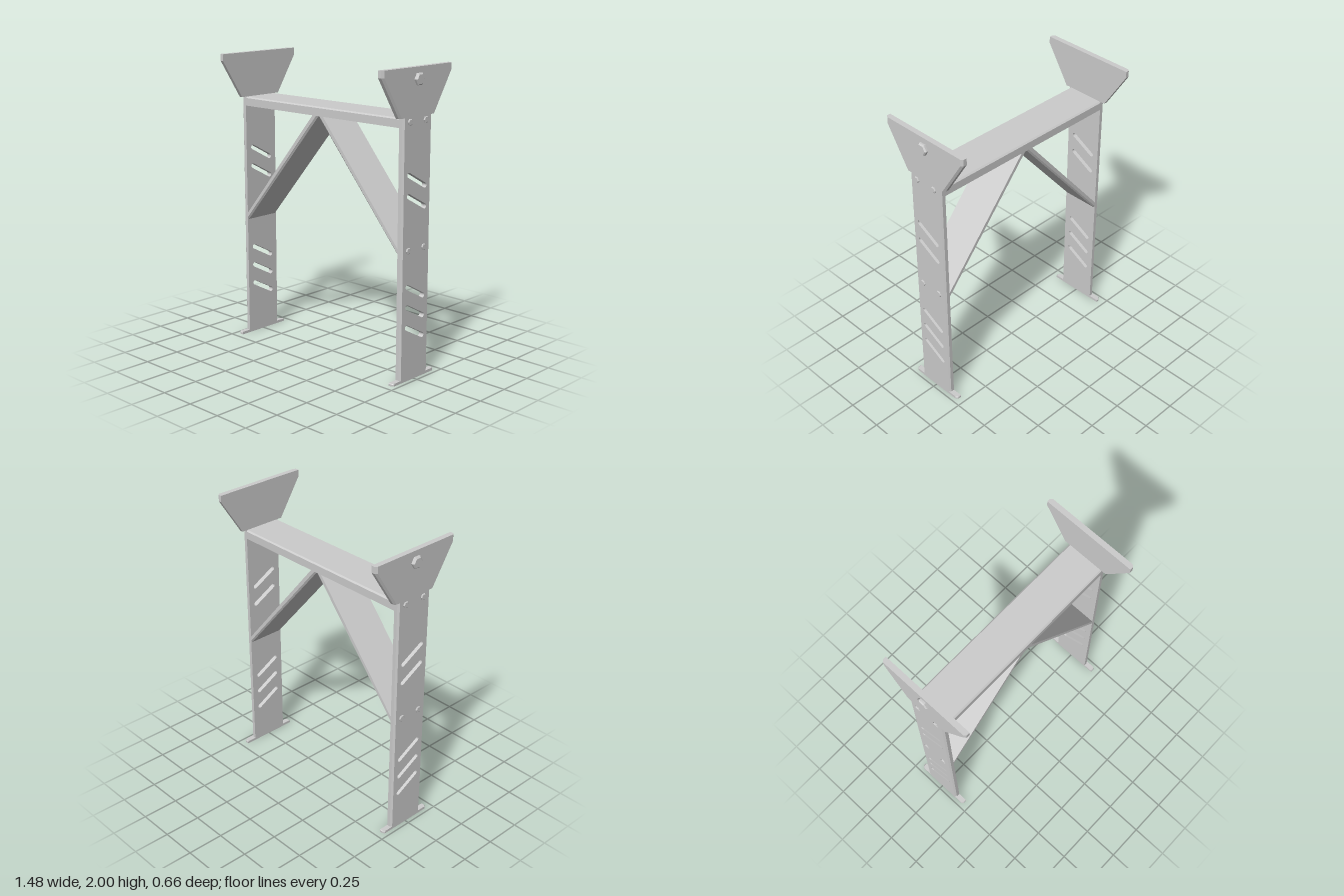
import * as THREE from 'three';

const T = 0.036;       // plate thickness
const INNER = 0.685;   // inner face of the side plates
const OUTER = INNER + T;
const HALF = 0.135;    // half width of posts, beam and braces

const material = new THREE.MeshStandardMaterial({ color: 0xcccccc, flatShading: true, side: THREE.DoubleSide });

function addMesh(parent, name, geometry) {
  const mesh = new THREE.Mesh(geometry, material);
  mesh.name = name;
  parent.add(mesh);
  return mesh;
}

// Sloped slot with round ends, centred at height y (shape x runs along -z)
function slot(y) {
  const path = new THREE.Path();
  const angle = Math.atan2(-0.085, 0.155), r = 0.016, a = 0.0775, b = -0.0425;
  path.absarc(a, y + b, r, angle - Math.PI / 2, angle + Math.PI / 2, false);
  path.absarc(-a, y - b, r, angle + Math.PI / 2, angle + Math.PI * 1.5, false);
  path.closePath();
  return path;
}

// Upright plate in the zy plane, thick along +x, with its outer side edges chamfered
function plate(points, inset, limit, holes = []) {
  const shape = new THREE.Shape(points.map(p => new THREE.Vector2(...p)));
  shape.holes = holes;
  const geo = new THREE.ExtrudeGeometry(shape, { depth: T, steps: 3, bevelEnabled: false, curveSegments: 8 });
  geo.rotateY(Math.PI / 2);
  const pos = geo.attributes.position;
  for (let i = 0; i < pos.count; i++) {
    const z = pos.getZ(i);
    if (pos.getX(i) > T * 0.9 && Math.abs(z) > limit) pos.setZ(i, z - Math.sign(z) * inset);
  }
  geo.computeVertexNormals();
  return geo;
}

const rect = (w, y0, y1) => [[-w, y0], [w, y0], [w, y1], [-w, y1]];

// Diagonal plate: a unit plate mapped between its upper and lower edge lines
function braceGeometry() {
  const geo = plate(rect(HALF, 0, 1), 0.01, 0.13);
  const pos = geo.attributes.position;
  const v2 = (x, y) => new THREE.Vector2(x, y);
  for (let i = 0; i < pos.count; i++) {
    const along = pos.getY(i), across = pos.getX(i) / T;
    const upper = v2(0.047, 1.637).lerp(v2(INNER, 0.882), along);
    const lower = v2(0, 1.637).lerp(v2(INNER, 0.835), along);
    upper.lerp(lower, across);
    pos.setXY(i, upper.x, upper.y);
  }
  geo.computeVertexNormals();
  return geo;
}

// Hexagonal bolt head with a chamfered rim, pointing along +x
function bolt(parent, name, r, height, y, z) {
  const profile = [[0, -0.004], [r, -0.004], [r, height * 0.6], [r * 0.78, height], [0, height]];
  const geo = new THREE.LatheGeometry(profile.map(p => new THREE.Vector2(...p)), 6);
  geo.rotateZ(-Math.PI / 2);
  addMesh(parent, name, geo).position.set(OUTER, y, z);
}

function createSide(name) {
  const side = new THREE.Group();
  side.name = name;

  // Slotted post
  const holes = [1.3, 1.167, 0.585, 0.452, 0.318].map(slot);
  addMesh(side, 'post', plate(rect(HALF, 0.018, 1.698), 0.01, 0.13, holes)).position.x = INNER;

  // Foot strip
  const foot = [[-0.204, 0], [0.204, 0], [0.204, 0.013], [0.199, 0.018], [-0.199, 0.018], [-0.204, 0.013]];
  addMesh(side, 'foot', plate(foot, 0.012, 0.15)).position.x = INNER;

  // Flared top plate
  const head = [[-0.168, 1.698], [0.168, 1.698], [0.332, 1.955], [0.332, 2], [-0.332, 2], [-0.332, 1.955]];
  addMesh(side, 'headPlate', plate(head, 0.015, 0.15)).position.x = INNER;

  // Diagonal brace
  addMesh(side, 'brace', braceGeometry());

  // Bolts
  bolt(side, 'headBolt', 0.042, 0.02, 1.925, 0);
  for (const y of [1.67, 0.863])
    for (const z of [-0.075, 0.075]) bolt(side, 'smallBolt', 0.022, 0.008, y, z);
  return side;
}

export function createModel() {
  const model = new THREE.Group();
  model.name = 'standFrame';

  // Mirrored side assemblies
  model.add(createSide('leftSide'));
  const right = createSide('rightSide');
  right.scale.x = -1;
  model.add(right);

  // Cross beam: channel open underneath, with chamfered top edges
  const y0 = 1.637, y1 = 1.698, w = 0.01, c = 0.009;
  const section = new THREE.Shape([
    [-HALF, y0], [-HALF + w, y0], [-HALF + w, y1 - w], [HALF - w, y1 - w], [HALF - w, y0], [HALF, y0],
    [HALF, y1 - c], [HALF - c, y1], [-HALF + c, y1], [-HALF, y1 - c],
  ].map(p => new THREE.Vector2(...p)));
  const beam = new THREE.ExtrudeGeometry(section, { depth: INNER * 2, bevelEnabled: false });
  beam.rotateY(Math.PI / 2);
  addMesh(model, 'crossBeam', beam).position.x = -INNER;

  // End tabs closing the beam against the posts
  for (const s of [-1, 1]) {
    const tab = new THREE.BoxGeometry(w, y1 - w - y0, 2 * (HALF - w));
    addMesh(model, 'beamEndTab', tab).position.set(s * (INNER - w / 2), (y0 + y1 - w) / 2, 0);
  }
  return model;
}
